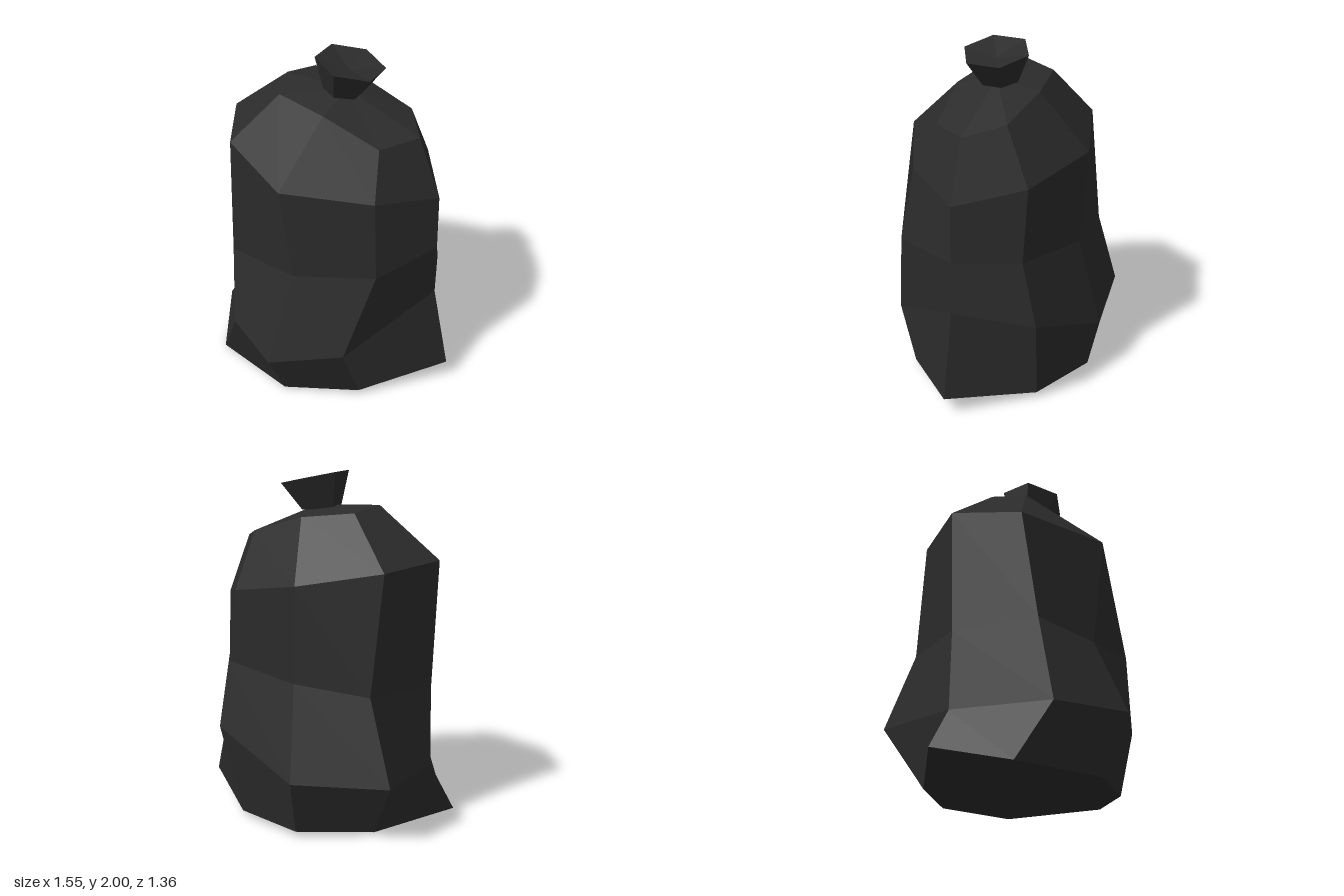
import * as THREE from 'three';

// Faceted skin over rings listed bottom to top; each ring runs +x, +z, -x, -z.
// A ring with one point closes the skin there. Each four-sided panel has one normal.
function loft(name, rings, material) {
  const positions = [], normals = [];
  const sides = Math.max(...rings.map((r) => r.length));
  for (let i = 0; i < rings.length - 1; i++) {
    const lo = rings[i], up = rings[i + 1];
    for (let j = 0; j < sides; j++) {
      const a = lo[(j + 1) % lo.length], b = lo[j % lo.length];
      const c = up[j % up.length], d = up[(j + 1) % up.length];
      const [va, vb, vc, vd] = [a, b, c, d].map((p) => new THREE.Vector3(...p));
      const n = vc.sub(va).cross(vd.sub(vb)).normalize().toArray();
      const tris = [];
      if (a !== b) tris.push([a, b, d]);
      if (c !== d) tris.push([b, c, d]);
      for (const p of tris.flat()) {
        positions.push(...p);
        normals.push(...n);
      }
    }
  }
  const geometry = new THREE.BufferGeometry();
  geometry.setAttribute('position', new THREE.Float32BufferAttribute(positions, 3));
  geometry.setAttribute('normal', new THREE.Float32BufferAttribute(normals, 3));
  const mesh = new THREE.Mesh(geometry, material);
  mesh.name = name;
  return mesh;
}

// Six-sided ring of the gathered top, leaning with x
function hexRing(cx, cy, cz, radius, slope) {
  return Array.from({ length: 6 }, (_, k) => {
    const a = (k + 0.5) * Math.PI / 3;
    const dx = radius * Math.cos(a);
    return [cx + dx, cy + slope * dx, cz + radius * Math.sin(a)];
  });
}

export function createModel() {
  const group = new THREE.Group();
  group.name = 'tiedSack';
  const plastic = new THREE.MeshStandardMaterial({ color: 0x2b2b2b });
  plastic.name = 'blackPlastic';

  // Lumpy sack: base, low bulge, waist, shoulder, crown
  const base = [
    [0.775, 0.115, -0.06], [0.38, 0.035, 0.345], [-0.04, 0.01, 0.505], [-0.58, 0, 0.335],
    [-0.78, 0.095, -0.06], [-0.43, 0.02, -0.41], [-0.04, 0.035, -0.615], [0.38, 0.035, -0.46],
  ];
  const bulge = [
    [0.668, 0.62, -0.06], [0.335, 0.365, 0.465], [-0.04, 0.335, 0.68], [-0.41, 0.345, 0.46],
    [-0.635, 0.34, -0.06], [-0.59, 0.355, -0.58], [-0.04, 0.335, -0.68], [0.5, 0.55, -0.5],
  ];
  const waist = [
    [0.665, 0.93, -0.06], [0.48, 0.91, 0.355], [0, 0.82, 0.445], [-0.44, 0.83, 0.385],
    [-0.63, 0.8, -0.06], [-0.44, 0.83, -0.505], [0, 0.87, -0.545], [0.48, 0.92, -0.405],
  ];
  const shoulder = [
    [0.66, 1.265, -0.06], [0.43, 1.34, 0.29], [-0.025, 1.42, 0.54], [-0.48, 1.495, 0.3],
    [-0.665, 1.53, -0.06], [-0.48, 1.495, -0.42], [-0.025, 1.42, -0.575], [0.43, 1.34, -0.41],
  ];
  const crown = [
    [0.525, 1.61, -0.06], [0.385, 1.605, 0.16], [0.06, 1.745, 0.195], [-0.24, 1.785, 0.145],
    [-0.305, 1.82, -0.06], [-0.24, 1.79, -0.265], [0.06, 1.76, -0.31], [0.38, 1.665, -0.26],
  ];
  group.add(loft('sack',
    [[[-0.1, 0.018, -0.06]], base, bulge, waist, shoulder, crown, [[0.08, 1.805, -0.06]]], plastic));

  // Gathered, flared top with a hollow in the middle
  group.add(loft('gatheredTop', [
    hexRing(0.05, 1.79, -0.06, 0.112, -0.12),
    hexRing(0.0925, 1.965, -0.06, 0.195, -0.21),
    [[0.085, 1.925, -0.06]],
  ], plastic));
  return group;
}
